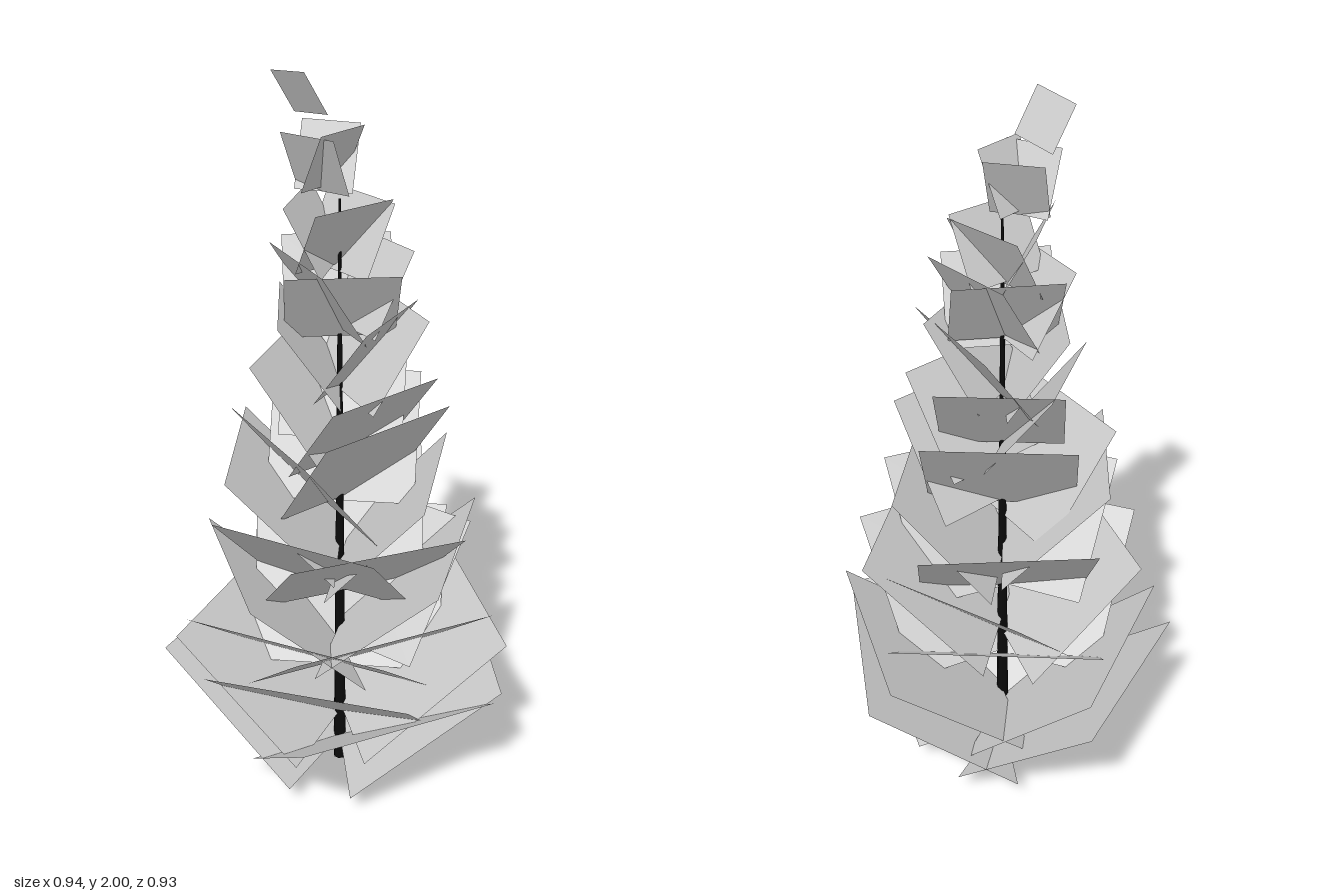
import * as THREE from 'three';

const CX = -0.01, CZ = 0.02; // trunk axis

// Growth rule: [top height, outward reach, rise, width]
const GROWTH = [
  [0.40, 0.405, 0.33, 0.54], [0.66, 0.37, 0.32, 0.55], [0.78, 0.32, 0.31, 0.51],
  [0.89, 0.28, 0.30, 0.455], [1.17, 0.20, 0.29, 0.39], [1.25, 0.185, 0.25, 0.33],
  [1.43, 0.15, 0.22, 0.30], [1.58, 0.12, 0.20, 0.27], [1.70, 0.09, 0.17, 0.22],
  [1.87, 0.07, 0.15, 0.14],
];

function growthAt(y) {
  let i = 0;
  while (i < GROWTH.length - 2 && y > GROWTH[i + 1][0]) i++;
  const a = GROWTH[i], b = GROWTH[i + 1];
  const t = THREE.MathUtils.clamp((y - a[0]) / (b[0] - a[0]), 0, 1);
  return a.map((v, k) => THREE.MathUtils.lerp(v, b[k], t));
}

// Branch cards: [top height, heading in degrees from the front towards +x,
// reach factor, width factor]
const CARDS = [
  [0.405, -11], [0.405, 62], [0.405, 205],
  [0.49, -49, 0.9], [0.49, 210, 0.92], [0.52, 70],
  [0.655, -57], [0.65, 140], [0.665, -11],
  [0.735, 111, 0.88, 0.88], [0.73, 253, 0.9, 0.9], [0.78, 41],
  [0.885, 146], [0.89, -60], [0.88, -15, 1.07],
  [0.985, 45], [1.03, 232, 1.13], [1.12, -93],
  [1.16, 140], [1.17, 3.6], [1.25, 4],
  [1.30, 140], [1.30, 215], [1.42, 84, 1, 1.15], [1.43, 25, 1, 0.85], [1.43, 237],
  [1.55, -30], [1.58, 95], [1.57, 150], [1.57, 265],
  [1.70, 0], [1.69, 100], [1.70, 220],
  [1.87, 10], [1.86, 130], [1.86, -65],
];

// Flat square card, lower edge centred on the origin, leaning out along +z
function cardGeometry(reach, rise, width) {
  const length = Math.hypot(reach, rise);
  return new THREE.PlaneGeometry(width, length)
    .translate(0, length / 2, 0)
    .rotateX(Math.atan2(reach, rise));
}

export function createModel() {
  const model = new THREE.Group();
  model.name = 'conifer';
  const bark = new THREE.MeshStandardMaterial({ color: 0x0a0a0a });
  const leaf = new THREE.MeshStandardMaterial({
    color: 0xcccccc, side: THREE.DoubleSide, flatShading: true,
  });

  // Tapering trunk
  const trunk = new THREE.Mesh(new THREE.CylinderGeometry(0.003, 0.018, 1.7, 8), bark);
  trunk.name = 'trunk';
  trunk.position.set(CX, 0.85, CZ);
  model.add(trunk);

  // Spiral of branch cards, the uppermost drifting back a little
  const branches = new THREE.Group();
  branches.name = 'branches';
  CARDS.forEach(([top, heading, reachFactor = 1, widthFactor = 1], i) => {
    const [, reach, rise, width] = growthAt(top);
    const drift = Math.max(0, top - 1.6) * 0.17;
    const card = new THREE.Mesh(
      cardGeometry(reach * reachFactor, rise, width * widthFactor), leaf);
    card.name = `branch${i + 1}`;
    card.position.set(CX - drift * 0.4, top - rise, CZ - drift);
    card.rotation.y = THREE.MathUtils.degToRad(heading);
    branches.add(card);
  });
  model.add(branches);

  // Single leaning card at the tip
  const tip = new THREE.Mesh(cardGeometry(0.06, 0.105, 0.12), leaf);
  tip.name = 'tip';
  tip.position.set(-0.037, 1.89, -0.06);
  tip.rotation.set(-0.14, THREE.MathUtils.degToRad(-82), 0);
  model.add(tip);

  return model;
}
